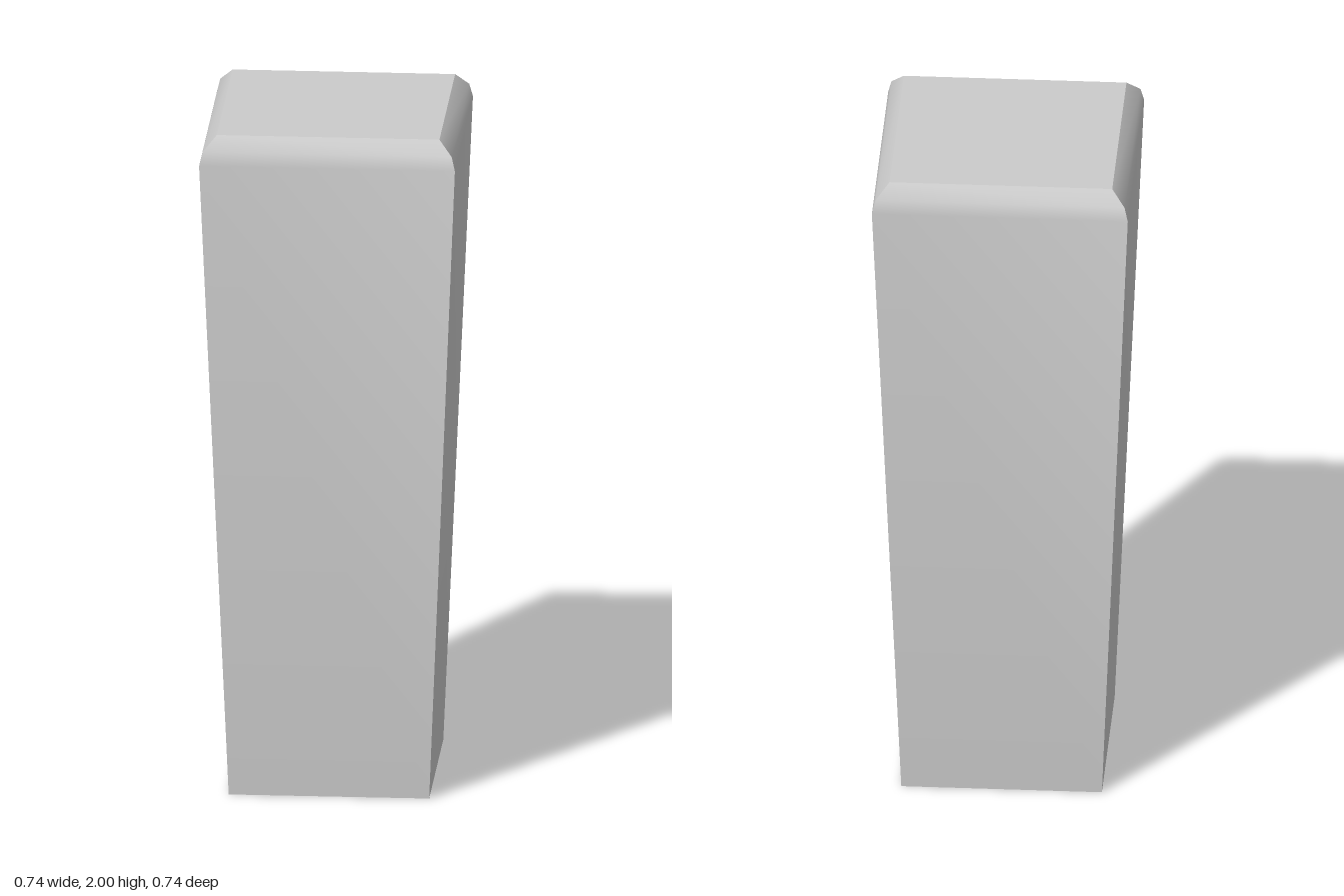
import * as THREE from 'three';
import { toCreasedNormals } from 'three/addons/utils/BufferGeometryUtils.js';

// Half-width and height of the square cross-section, bottom to top
const profile = [
  [0, 0],
  [0.29, 0],
  [0.37, 1.92],
  [0.36, 1.96],
  [0.322, 2],
  [0, 2],
];

export function createModel() {
  const group = new THREE.Group();
  group.name = 'taperedPost';

  // Four-sided lathe turned 45 degrees, so its flat sides face the axes
  const points = profile.map(([half, y]) => new THREE.Vector2(half * Math.SQRT2, y));
  const lathe = new THREE.LatheGeometry(points, 4, Math.PI / 4);

  // Sharp corners and top rim, soft rounding below the rim
  const post = new THREE.Mesh(
    toCreasedNormals(lathe, 0.65),
    new THREE.MeshStandardMaterial({ color: 0xcccccc })
  );
  post.name = 'post';
  group.add(post);
  return group;
}
